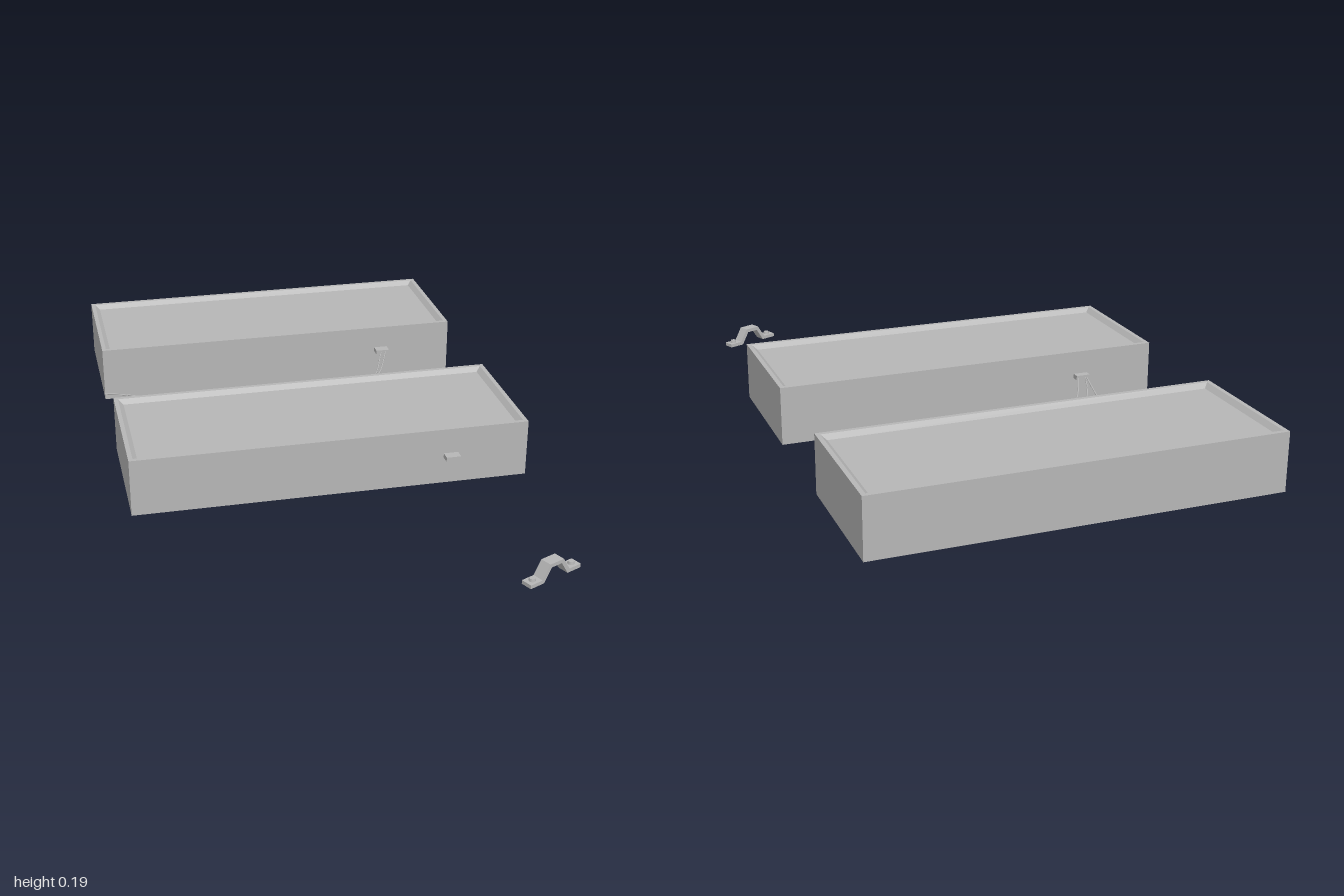
import * as THREE from 'three';

const grey = new THREE.MeshStandardMaterial({ color: 0xb6b6b6 });
grey.name = 'light grey';

function add(parent, name, geometry, x = 0, y = 0, z = 0) {
  const mesh = new THREE.Mesh(geometry, grey);
  mesh.name = name;
  mesh.position.set(x, y, z);
  parent.add(mesh);
  return mesh;
}

// Box with a narrow rim and a shallow sunken lid, lofted from rectangular loops
function casingGeometry(w, h, d) {
  const loops = [[0, 0], [0, h], [0.014, h], [0.03, h - 0.014]].map(([inset, y]) => {
    const x = w / 2 - inset, z = d / 2 - inset;
    return [[-x, y, z], [x, y, z], [x, y, -z], [-x, y, -z]];
  });
  const pos = [];
  const quad = (a, b, c, e) => pos.push(...a, ...b, ...c, ...a, ...c, ...e);
  for (let i = 0; i < loops.length - 1; i++) {
    for (let j = 0; j < 4; j++) {
      const k = (j + 1) % 4;
      quad(loops[i][j], loops[i][k], loops[i + 1][k], loops[i + 1][j]);
    }
  }
  quad(...loops[3]);
  quad(...[...loops[0]].reverse());
  const g = new THREE.BufferGeometry();
  g.setAttribute('position', new THREE.Float32BufferAttribute(pos, 3));
  g.computeVertexNormals();
  return g;
}

// Thin cable through a few points
function cable(parent, name, points) {
  const curve = new THREE.CatmullRomCurve3(points.map(p => new THREE.Vector3(...p)), false, 'centripetal');
  add(parent, name, new THREE.TubeGeometry(curve, 40, 0.0025, 6));
}

// Bent strap with two flanges and screw heads
function bracket(name, x, z, degrees) {
  const g = new THREE.Group();
  g.name = name;
  const width = 0.037;
  const profile = [
    [-0.1, 0], [-0.047, 0], [-0.02, 0.043], [0.02, 0.043], [0.047, 0], [0.1, 0],
    [0.1, 0.012], [0.054, 0.012], [0.027, 0.055], [-0.027, 0.055], [-0.054, 0.012], [-0.1, 0.012],
  ].map(p => new THREE.Vector2(...p));
  const strap = new THREE.ExtrudeGeometry(new THREE.Shape(profile), { depth: width, bevelEnabled: false });
  strap.translate(0, 0, -width / 2);
  add(g, 'strap', strap);
  for (const side of [-1, 1]) {
    add(g, 'screwHead', new THREE.CylinderGeometry(0.009, 0.011, 0.01, 8), side * 0.078, 0.016, 0);
  }
  g.position.set(x, 0, z);
  g.rotation.y = THREE.MathUtils.degToRad(degrees);
  return g;
}

export function createModel() {
  const model = new THREE.Group();
  model.name = 'linkedPanels';

  // Two identical casings
  const casing = casingGeometry(1.286, 0.19, 0.466);
  add(model, 'frontCasing', casing, 0.002, 0, 0.102);
  add(model, 'backCasing', casing, 0.002, 0, -0.767);

  // Plugs on the casing sides
  const plug = new THREE.BoxGeometry(0.048, 0.015, 0.034);
  add(model, 'frontPlug', plug, 0.388, 0.098, 0.35);
  add(model, 'middlePlug', plug, -0.385, 0.105, -0.138);
  add(model, 'backPlug', plug, 0.386, 0.105, -0.515);

  // Pair of link cables and one loose cable
  cable(model, 'linkCableA', [
    [-0.395, 0.105, -0.15], [-0.37, 0.08, -0.22], [-0.32, 0.046, -0.3], [-0.23, 0.034, -0.34],
    [-0.05, 0.03, -0.36], [0.2, 0.03, -0.347], [0.275, 0.04, -0.365], [0.33, 0.056, -0.4], [0.38, 0.105, -0.5],
  ]);
  cable(model, 'linkCableB', [
    [-0.37, 0.105, -0.15], [-0.33, 0.074, -0.23], [-0.27, 0.046, -0.3], [-0.12, 0.034, -0.335],
    [0, 0.03, -0.343], [0.2, 0.03, -0.333], [0.29, 0.04, -0.358], [0.35, 0.062, -0.41], [0.397, 0.105, -0.5],
  ]);
  cable(model, 'looseCable', [
    [-0.398, 0.105, -0.15], [-0.4, 0.058, -0.25], [-0.41, 0.028, -0.34], [-0.44, 0.022, -0.4],
    [-0.5, 0.026, -0.46], [-0.58, 0.03, -0.495], [-0.645, 0.03, -0.515],
  ]);

  // Mounting brackets
  model.add(bracket('looseBracket', 0.504, 0.942, 24));
  model.add(bracket('cableBracket', -0.098, -0.341, -66));
  return model;
}
